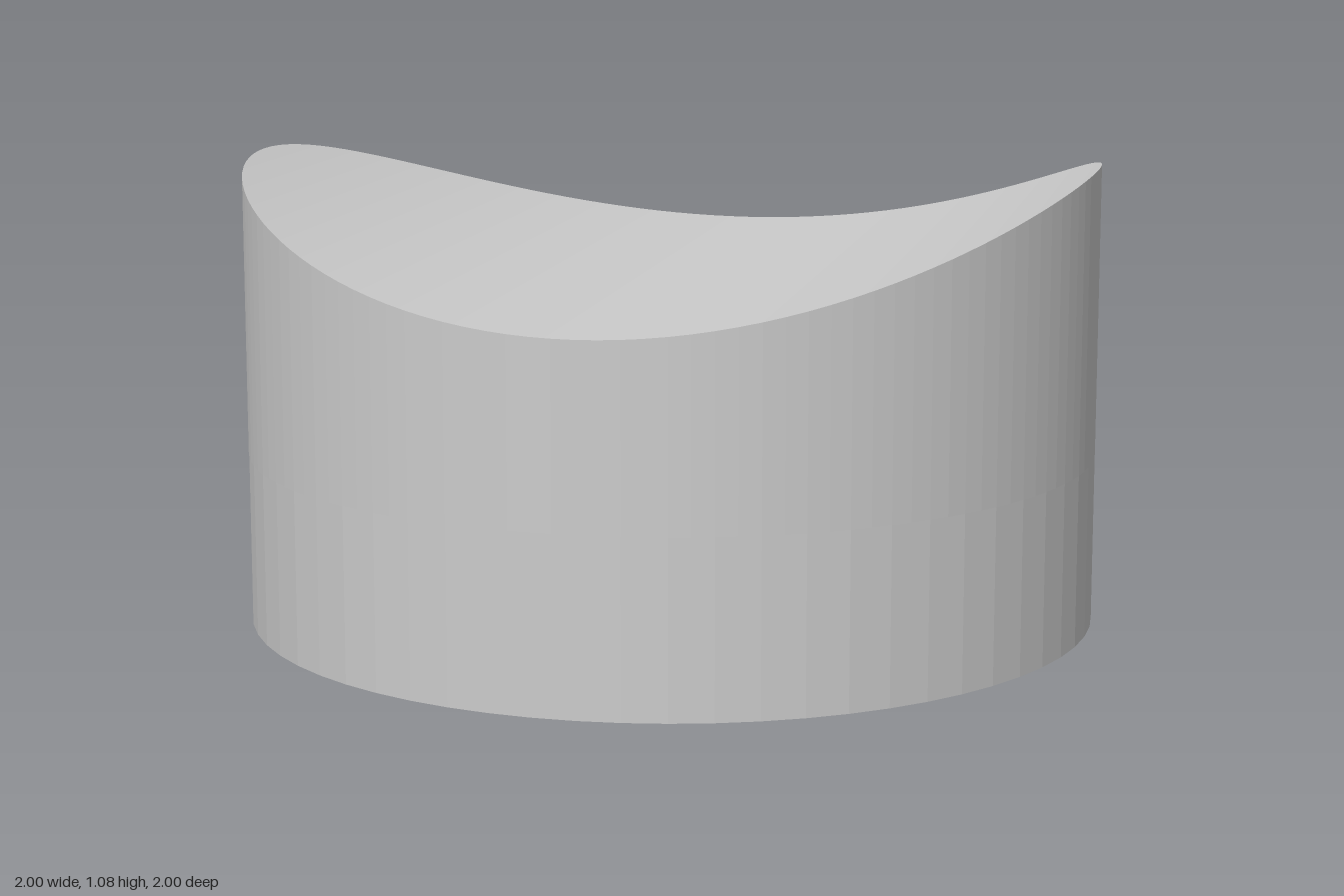
import * as THREE from 'three';

const BASE_HEIGHT = 0.4;
const LOW = 0.812; // height along the bottom of the trough
const CURVE_RADIUS = 2; // radius of the cylindrical trough, running along z
const SIDES = 128;

const topHeight = (x) => LOW + CURVE_RADIUS - Math.sqrt(CURVE_RADIUS ** 2 - x * x);

// Replaces each vertex by rule(x, y, z) -> [x, y, z]
function moveVertices(geometry, rule) {
  const p = geometry.attributes.position;
  for (let i = 0; i < p.count; i++) {
    p.setXYZ(i, ...rule(p.getX(i), p.getY(i), p.getZ(i)));
  }
  geometry.computeVertexNormals();
  return geometry;
}

export function createModel() {
  const group = new THREE.Group();
  group.name = 'saddleToppedCylinder';
  const faceted = new THREE.MeshStandardMaterial({ color: 0xcccccc, flatShading: true });
  const smooth = new THREE.MeshStandardMaterial({ color: 0xcccccc });

  const add = (name, geometry, material) => {
    const mesh = new THREE.Mesh(geometry, material);
    mesh.name = name;
    group.add(mesh);
  };

  // Plain round base
  const base = new THREE.CylinderGeometry(1, 1, BASE_HEIGHT, 64);
  base.translate(0, BASE_HEIGHT / 2, 0);
  add('base', base, faceted);

  // Upper wall, its rim rising to both sides
  const wall = new THREE.CylinderGeometry(1, 1, 1, SIDES, 1, true);
  moveVertices(wall, (x, y, z) => [x, y > 0 ? topHeight(x) : BASE_HEIGHT, z]);
  add('upperWall', wall, faceted);

  // Curved top: a strip of columns shaped into a disc, bent along x
  const top = new THREE.PlaneGeometry(2, 2, SIDES / 2, 1).rotateX(-Math.PI / 2);
  moveVertices(top, (x, y, z) => {
    const a = (x * Math.PI) / 2;
    return [Math.sin(a), topHeight(Math.sin(a)), z * Math.cos(a)];
  });
  add('curvedTop', top, smooth);

  return group;
}
